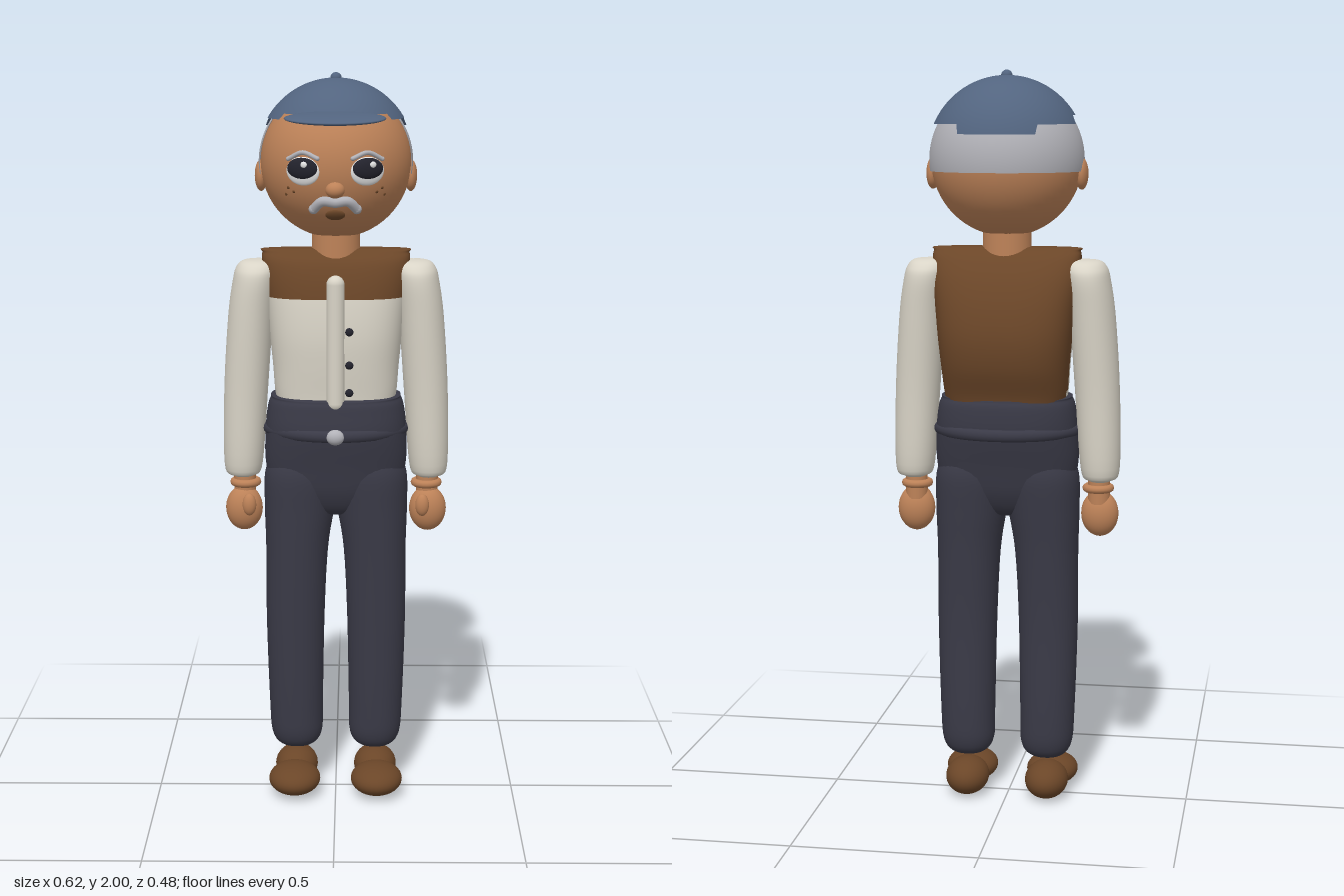
import * as THREE from 'three';

const mat = (name, color, side = THREE.FrontSide) => {
  const m = new THREE.MeshStandardMaterial({ color, side });
  m.name = name;
  return m;
};

export function createModel() {
  const skin = mat('skin', 0xbd8258), capBlue = mat('capBlue', 0x52647f, THREE.DoubleSide);
  const hair = mat('greyHair', 0xb2b2b8, THREE.DoubleSide), cream = mat('creamShirt', 0xd9d4c7);
  const brown = mat('brownLeather', 0x6b4628), navy = mat('darkTrousers', 0x3a3a47);
  const dark = mat('eyeDark', 0x23232d), white = mat('eyeWhite', 0xe6e6e6);

  const model = new THREE.Group();
  model.name = 'standingMan';

  const add = (name, geo, material, x = 0, y = 0, z = 0, parent = model) => {
    const mesh = new THREE.Mesh(geo, material);
    mesh.name = name;
    mesh.position.set(x, y, z);
    parent.add(mesh);
    return mesh;
  };
  const blob = (name, material, x, y, z, rx, ry, rz) => {
    const m = add(name, new THREE.SphereGeometry(1, 32, 20), material, x, y, z);
    m.scale.set(rx, ry, rz);
    return m;
  };

  // Smooth loft through rings [y, cx, cz, rx, rz]; p is the squareness of each ring.
  // pick(x, y, z) gives a material index for each quad.
  const loft = (rings, p, pick = () => 0, seg = 56, sub = 5) => {
    const rows = [], cr = (a, b, c, d, t) => 0.5 * (2 * b + (c - a) * t
      + (2 * a - 5 * b + 4 * c - d) * t * t + (3 * b - a - 3 * c + d) * t * t * t);
    const last = rings.length - 1;
    for (let i = 0; i < last; i++) for (let s = 0; s < sub; s++) {
      const q = [rings[Math.max(i - 1, 0)], rings[i], rings[i + 1], rings[Math.min(i + 2, last)]];
      rows.push(q[1].map((_, k) => cr(q[0][k], q[1][k], q[2][k], q[3][k], s / sub)));
    }
    rows.push(rings[last]);
    const pos = [], faces = [[], []];
    const pw = (v) => Math.sign(v) * Math.abs(v) ** (2 / p);
    for (const [y, cx, cz, rx, rz] of rows) for (let i = 0; i < seg; i++) {
      const a = (i / seg) * Math.PI * 2;
      pos.push(cx + Math.max(rx, 0.001) * pw(Math.cos(a)), y, cz + Math.max(rz, 0.001) * pw(Math.sin(a)));
    }
    for (let j = 0; j < rows.length - 1; j++) for (let i = 0; i < seg; i++) {
      const n = (i + 1) % seg, a = j * seg + i, b = a + seg, c = (j + 1) * seg + n, d = j * seg + n;
      const mid = [0, 1, 2].map((k) => (pos[a * 3 + k] + pos[c * 3 + k]) / 2);
      faces[pick(...mid)].push(a, b, c, a, c, d);
    }
    const g = new THREE.BufferGeometry();
    g.setAttribute('position', new THREE.Float32BufferAttribute(pos, 3));
    g.setIndex([...faces[0], ...faces[1]]);
    g.addGroup(0, faces[0].length, 0);
    g.addGroup(faces[0].length, faces[1].length, 1);
    g.computeVertexNormals();
    return g;
  };

  // Torso: cream shirt front, brown back and shoulder yoke
  add('torso', loft([
    [1.08, 0, -0.035, 0.15, 0.11], [1.14, 0, -0.04, 0.165, 0.115], [1.22, 0, -0.052, 0.172, 0.133],
    [1.30, 0, -0.055, 0.18, 0.139], [1.38, 0, -0.051, 0.188, 0.129], [1.45, 0, -0.043, 0.197, 0.108],
    [1.50, 0, -0.035, 0.2, 0.08], [1.525, 0, -0.032, 0.198, 0.052], [1.536, 0, -0.03, 0.185, 0.03],
    [1.537, 0, -0.03, 0.001, 0.001],
  ], 2.8, (x, y, z) => (z < -0.055 || y > 1.412 ? 1 : 0)), [cream, brown]);

  // Button strip with a rounded top
  add('buttonStrip', new THREE.CapsuleGeometry(0.024, 0.32, 6, 20), cream, 0, 1.292, 0.08);
  for (const y of [1.325, 1.235, 1.16]) blob('shirtButton', dark, 0.037, y, 0.083, 0.011, 0.011, 0.009);

  // Trousers
  add('hips', loft([
    [0.80, 0, -0.02, 0.001, 0.001], [0.815, 0, -0.02, 0.1, 0.06], [0.87, 0, -0.022, 0.17, 0.094],
    [0.95, 0, -0.024, 0.193, 0.113], [1.04, 0, -0.027, 0.193, 0.133], [1.10, 0, -0.03, 0.187, 0.132],
    [1.13, 0, -0.03, 0.177, 0.126], [1.138, 0, -0.03, 0.16, 0.11], [1.139, 0, -0.03, 0.001, 0.001],
  ], 2.4), navy);
  for (const s of [1, -1]) add(s > 0 ? 'leftLeg' : 'rightLeg', loft([
    [0.118, s * 0.11, -0.025, 0.001, 0.001], [0.125, s * 0.11, -0.025, 0.045, 0.045],
    [0.16, s * 0.11, -0.025, 0.07, 0.07], [0.25, s * 0.112, -0.024, 0.075, 0.077],
    [0.50, s * 0.113, -0.018, 0.081, 0.081], [0.70, s * 0.108, -0.019, 0.086, 0.09],
    [0.82, s * 0.1, -0.022, 0.097, 0.098], [0.92, s * 0.09, -0.024, 0.105, 0.104],
    [0.98, s * 0.08, -0.024, 0.09, 0.09],
  ], 2.2, undefined, 36), navy);

  // Belt and buckle
  const belt = add('belt', new THREE.TorusGeometry(1, 0.085, 12, 64), navy, 0, 1.045, -0.03);
  belt.rotation.x = Math.PI / 2;
  belt.scale.set(0.185, 0.139, 0.19);
  blob('beltBuckle', hair, 0, 1.045, 0.115, 0.024, 0.021, 0.017);

  for (const s of [1, -1]) {
    // Sleeve
    add('sleeve', loft([
      [0.903, s * 0.255, -0.033, 0.001, 0.001], [0.91, s * 0.255, -0.033, 0.034, 0.042],
      [0.945, s * 0.255, -0.033, 0.053, 0.063], [1.15, s * 0.246, -0.033, 0.06, 0.07],
      [1.35, s * 0.232, -0.035, 0.061, 0.08], [1.45, s * 0.219, -0.037, 0.06, 0.083],
      [1.485, s * 0.213, -0.037, 0.056, 0.07], [1.502, s * 0.21, -0.037, 0.04, 0.043],
      [1.506, s * 0.21, -0.037, 0.001, 0.001],
    ], 2.1, undefined, 36), cream);
    // Wrist and hand
    const wrist = add('wristRing', new THREE.TorusGeometry(0.032, 0.011, 10, 28), skin, s * 0.25, 0.887, -0.033);
    wrist.rotation.x = Math.PI / 2;
    add('wrist', new THREE.CylinderGeometry(0.03, 0.03, 0.07, 20), skin, s * 0.252, 0.88, -0.033);
    blob('hand', skin, s * 0.254, 0.815, -0.025, 0.051, 0.063, 0.042);
    blob('thumb', skin, s * 0.238, 0.832, 0.012, 0.019, 0.031, 0.017);
    // Shoe: toe and heel
    blob('shoeToe', brown, s * 0.115, 0.05, 0.064, 0.072, 0.043, 0.082);
    blob('shoeHeel', brown, s * 0.112, 0.053, -0.038, 0.06, 0.052, 0.077);
    blob('ear', skin, s * 0.2, 1.73, -0.035, 0.017, 0.042, 0.033);
  }

  // Head, neck and the hair band round the back
  const cy = 1.765, cz = -0.035;
  add('neck', new THREE.CylinderGeometry(0.064, 0.066, 0.13, 32), skin, 0, 1.55, -0.033);
  add('head', new THREE.SphereGeometry(0.201, 48, 32), skin, 0, cy, cz);
  add('hair', new THREE.SphereGeometry(0.206, 48, 16, 2.91, 3.603, 0.8, 0.91), hair, 0, cy, cz);

  // Cap dome with a stepped rim
  const dome = new THREE.SphereGeometry(0.21, 120, 24, 0, Math.PI * 2, 0, Math.PI / 2);
  const P = dome.attributes.position, N = dome.attributes.normal, U = dome.attributes.uv;
  const v = new THREE.Vector3();
  for (let i = 0; i < P.count; i++) {
    const row = Math.floor(i / 121), phi = ((i % 121) / 120) * Math.PI * 2;
    const off = Math.abs(Math.atan2(Math.cos(phi), Math.sin(phi))) * 180 / Math.PI;
    const rim = off < 54 ? 0.121 : off < 100 ? 0.106 : off < 148 ? 0.083 : 0.058;
    const th = (row / 24) * Math.acos(rim / 0.21);
    v.set(-Math.cos(phi) * Math.sin(th), Math.cos(th), Math.sin(phi) * Math.sin(th));
    N.setXYZ(i, v.x, v.y, v.z);
    P.setXYZ(i, v.x * 0.21, v.y * 0.21, v.z * 0.21);
  }
  add('capDome', dome, capBlue, 0, 1.776, -0.038);
  blob('capButton', capBlue, 0, 1.985, -0.038, 0.015, 0.015, 0.015);
  blob('capBrim', capBlue, 0, 1.89, 0.163, 0.131, 0.012, 0.081).rotation.x = 0.13;

  // Face details sit on the head, turned along its surface
  const onFace = (x, y, lift = 0) => {
    const n = new THREE.Vector3(x, y - cy, Math.sqrt(0.0404 - x * x - (y - cy) ** 2)).normalize();
    return { n, p: n.clone().multiplyScalar(0.201 + lift).add(new THREE.Vector3(0, cy, cz)) };
  };
  const spot = (name, material, x, y, rx, ry, depth, lift = 0) => {
    const { n, p } = onFace(x, y, lift);
    const m = blob(name, material, p.x, p.y, p.z, rx, ry, depth);
    m.quaternion.setFromUnitVectors(new THREE.Vector3(0, 0, 1), n);
  };
  const strand = (name, pts, r, lift) => {
    const path = new THREE.CatmullRomCurve3(pts.map(([x, y]) => onFace(x, y, lift).p));
    add(name, new THREE.TubeGeometry(path, 32, r, 10), hair);
    for (const [x, y] of [pts[0], pts[pts.length - 1]]) spot(name + 'Tip', hair, x, y, r, r, r, lift);
  };
  for (const s of [1, -1]) {
    spot('eyeWhite', white, s * 0.083, 1.755, 0.047, 0.037, 0.01);
    spot('iris', dark, s * 0.083, 1.762, 0.043, 0.028, 0.013, 0.003);
    spot('eyeGlint', white, s * 0.083 + 0.008, 1.772, 0.009, 0.008, 0.004, 0.015);
    strand('eyebrow', [[s * 0.045, 1.788], [s * 0.083, 1.802], [s * 0.12, 1.785]], 0.006, 0.002);
    for (const [x, y] of [[0.108, 1.7], [0.122, 1.71], [0.128, 1.692]]) {
      spot('freckle', brown, s * x, y, 0.004, 0.004, 0.002);
    }
  }
  spot('nose', skin, 0, 1.708, 0.025, 0.021, 0.022, 0.002);
  strand('moustache', [[-0.055, 1.658], [-0.032, 1.679], [0, 1.676], [0.032, 1.679], [0.055, 1.658]], 0.013, 0.004);
  spot('mouth', brown, 0, 1.64, 0.026, 0.017, 0.008);

  return model;
}
